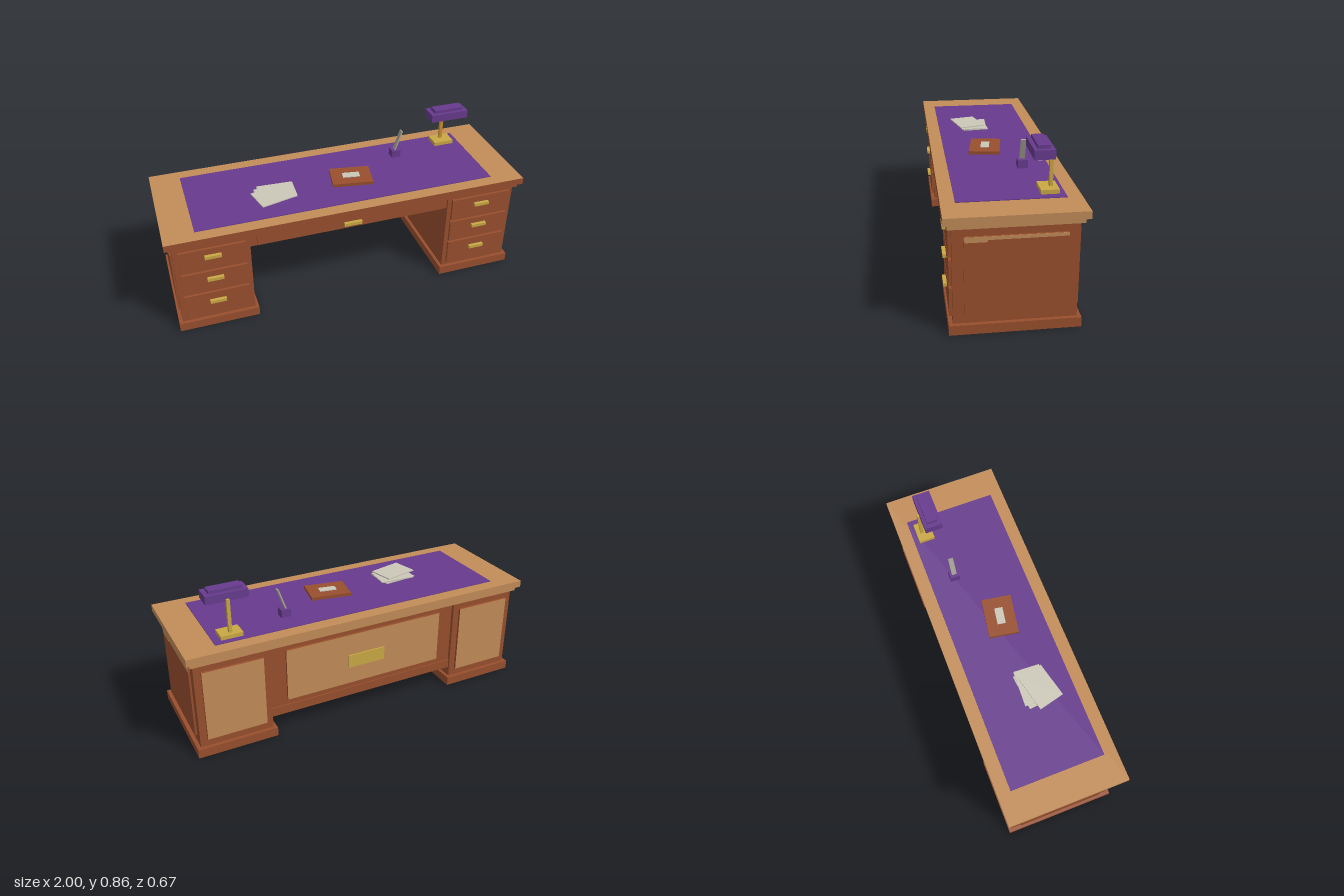
import * as THREE from 'three';

const mat = (name, color) => {
  const m = new THREE.MeshStandardMaterial({ color });
  m.name = name;
  return m;
};

export function createModel() {
  const desk = new THREE.Group();
  desk.name = 'desk';
  const wood = mat('red brown wood', 0x984f2d);
  const oak = mat('light wood', 0xc28c58);
  const purple = mat('purple', 0x673b8e);
  const brass = mat('brass', 0xc9a844);
  const amber = mat('amber brass', 0xcf8f2a);
  const paper = mat('paper', 0xcbc7b8);
  const steel = mat('grey', 0xa9a598);

  // box given by its limits on each axis
  const box = (name, [x0, x1], [y0, y1], [z0, z1], material, parent = desk) => {
    const mesh = new THREE.Mesh(new THREE.BoxGeometry(x1 - x0, y1 - y0, z1 - z0), material);
    mesh.position.set((x0 + x1) / 2, (y0 + y1) / 2, (z0 + z1) / 2);
    mesh.name = name;
    parent.add(mesh);
    return mesh;
  };

  // table top: light wood with a darker front edge and underside
  box('tableTop', [-1, 1], [0.562, 0.6], [-0.333, 0.333], [oak, oak, oak, wood, wood, oak]);
  box('topMoulding', [-0.98, 0.98], [0.535, 0.562], [-0.313, 0.313], [oak, oak, oak, wood, wood, oak]);
  box('deskMat', [-0.835, 0.83], [0.6, 0.604], [-0.26, 0.263], purple);

  // drawer pedestals, mirrored
  for (const s of [-1, 1]) {
    const pedestal = new THREE.Group();
    pedestal.name = s > 0 ? 'leftPedestal' : 'rightPedestal';
    desk.add(pedestal);
    const span = (a, b) => (s > 0 ? [a, b] : [-b, -a]);
    box('plinth', span(0.545, 0.983), [0, 0.05], [-0.313, 0.313], wood, pedestal);
    box('pedestalBody', span(0.563, 0.963), [0.05, 0.535], [-0.293, 0.293], wood, pedestal);
    box('sidePanel', span(0.963, 0.973), [0.095, 0.492], [-0.24, 0.24], wood, pedestal);
    // worn light strip along the top of the side panel
    box('sidePanelStrip', span(0.973, 0.9745), [0.475, 0.492], [-0.24, 0.24], oak, pedestal);
    box('sidePanelWear', span(0.973, 0.9745), [0.465, 0.475], [0.13, 0.235], oak, pedestal);
    box('backPanel', span(0.6, 0.925), [0.095, 0.492], [-0.306, -0.293],
      [wood, wood, wood, wood, wood, oak], pedestal);
    for (const [y0, y1, h] of [[0.077, 0.222, 0.168], [0.235, 0.367, 0.322], [0.382, 0.513, 0.468]]) {
      box('drawerFront', span(0.587, 0.938), [y0, y1], [0.293, 0.307], wood, pedestal);
      box('drawerHandle', span(0.718, 0.806), [h - 0.009, h + 0.009], [0.307, 0.325],
        [brass, brass, brass, amber, brass, brass], pedestal);
    }
  }

  // kneehole: apron with wide drawer, and closed back
  box('apron', [-0.563, 0.563], [0.455, 0.535], [0.2, 0.28], wood);
  box('centreDrawer', [-0.525, 0.522], [0.465, 0.527], [0.28, 0.294], wood);
  box('centreHandle', [-0.05, 0.05], [0.486, 0.504], [0.294, 0.312],
    [brass, brass, brass, amber, brass, brass]);
  box('modestyPanel', [-0.563, 0.563], [0.105, 0.535], [-0.275, -0.24], wood);
  box('lowerRail', [-0.563, 0.563], [0.105, 0.155], [-0.282, -0.23], wood);
  box('centreBackPanel', [-0.47, 0.47], [0.19, 0.49], [-0.288, -0.275],
    [wood, wood, wood, wood, wood, oak]);
  box('backPlate', [-0.11, 0.11], [0.293, 0.368], [-0.296, -0.288], brass);

  // loose papers
  [[-0.365, 0.055, 0.1, 0.604], [-0.354, 0.052, -0.05, 0.61], [-0.382, 0.09, 0.24, 0.617]].forEach(([x, z, turn, y]) => {
    const sheet = box('paperSheet', [-0.1, 0.1], [y, y + 0.006], [-0.073, 0.073], paper);
    sheet.position.x = x;
    sheet.position.z = z;
    sheet.rotation.y = turn;
  });

  // book with a label
  const book = new THREE.Group();
  book.name = 'book';
  book.position.set(0.078, 0.604, 0.034);
  book.rotation.y = -0.165;
  desk.add(book);
  box('bookCover', [-0.113, 0.113], [0, 0.018], [-0.083, 0.083], wood, book);
  box('bookLabel', [-0.048, 0.048], [0.018, 0.022], [-0.023, 0.023], paper, book);

  // pen holder with leaning pen
  box('penHolder', [0.377, 0.43], [0.604, 0.648], [-0.146, -0.093], purple);
  const pen = box('pen', [0.413, 0.421], [0.635, 0.765], [-0.133, -0.105], steel);
  pen.rotation.z = -0.33;

  // desk lamp
  const lamp = new THREE.Group();
  lamp.name = 'lamp';
  desk.add(lamp);
  box('lampBase', [0.672, 0.79], [0.604, 0.625], [-0.232, -0.142], brass, lamp);
  box('lampPole', [0.722, 0.74], [0.625, 0.806], [-0.209, -0.191],
    [brass, brass, brass, brass, amber, brass], lamp);
  box('lampShade', [0.618, 0.842], [0.793, 0.838], [-0.196, -0.097], purple, lamp);
  box('lampCap', [0.643, 0.817], [0.838, 0.855], [-0.176, -0.117], purple, lamp);
  box('lampLight', [0.643, 0.817], [0.783, 0.793], [-0.176, -0.117], paper, lamp);

  return desk;
}
